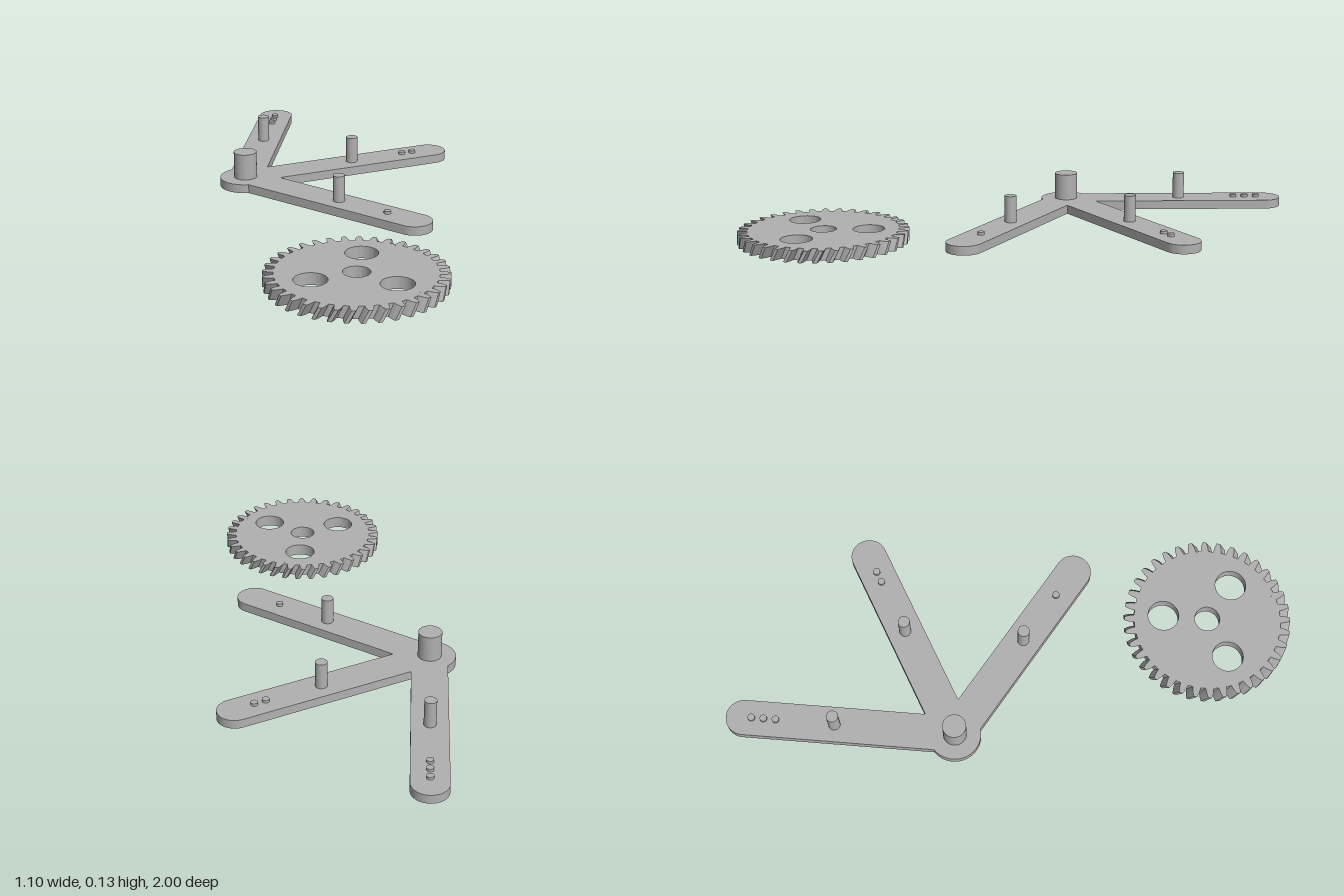
import * as THREE from 'three';
import { toCreasedNormals } from 'three/addons/utils/BufferGeometryUtils.js';

const PLATE_H = 0.032, PIN_TOP = 0.127, DOT_TOP = 0.042;
const HUB_R = 0.092, ARM_W = 0.0635, ARM_L = 0.744;
const GEAR_H = 0.042, TEETH = 36, TWIST = 0.075;
const rad = THREE.MathUtils.degToRad;

// Extrude a shape drawn in plan (shape y = -z) upwards from y = 0
function slab(shape, depth, steps = 1) {
  const g = new THREE.ExtrudeGeometry(shape, { depth, steps, bevelEnabled: false, curveSegments: 40 });
  return g.rotateX(-Math.PI / 2);
}

function circleHole(x, y, r) {
  return new THREE.Path().absarc(x, y, r, 0, Math.PI * 2, true);
}

// Three rounded arms, 60 degrees apart, merging into a round hub
function carrierShape() {
  const s = new THREE.Shape();
  const notch = ARM_W / Math.sin(rad(30));
  for (const deg of [-60, 0, 60]) {
    const a = rad(deg);
    s.absarc(ARM_L * Math.cos(a), ARM_L * Math.sin(a), ARM_W, a - Math.PI / 2, a + Math.PI / 2, false);
    if (deg < 60) s.lineTo(notch * Math.cos(a + rad(30)), notch * Math.sin(a + rad(30)));
  }
  const start = rad(60) + Math.asin(ARM_W / HUB_R);
  s.absarc(0, 0, HUB_R, start, Math.PI * 2 - start, false);
  s.closePath();
  return s;
}

// Tooth outline: [radius, offset as a fraction of one tooth pitch]
function toothShape() {
  const profile = [[0.262, -0.3], [0.272, -0.27], [0.283, -0.22], [0.297, -0.12],
    [0.297, 0.12], [0.283, 0.22], [0.272, 0.27], [0.262, 0.3]];
  const pts = [];
  for (let i = 0; i < TEETH; i++) {
    for (const [r, f] of profile) {
      const a = (i + f) * Math.PI * 2 / TEETH;
      pts.push(new THREE.Vector2(r * Math.cos(a), r * Math.sin(a)));
    }
  }
  return new THREE.Shape(pts);
}

export function createModel() {
  const model = new THREE.Group();
  model.name = 'gearAndCarrier';
  const grey = new THREE.MeshStandardMaterial({ color: 0xb0b0b0 });
  grey.name = 'grey';

  const add = (parent, name, geometry) => {
    const mesh = new THREE.Mesh(geometry, grey);
    mesh.name = name;
    parent.add(mesh);
    return mesh;
  };

  // Carrier plate with its pins
  const carrier = new THREE.Group();
  carrier.name = 'carrier';
  carrier.position.set(-0.257, 0, -0.293);
  model.add(carrier);
  add(carrier, 'carrierPlate', toCreasedNormals(slab(carrierShape(), PLATE_H), 0.4));

  const peg = (name, r, top, dist, a) => {
    const base = PLATE_H - 0.004;
    const mesh = add(carrier, name, new THREE.CylinderGeometry(r, r, top - base, 40));
    mesh.position.set(dist * Math.cos(a), (top + base) / 2, -dist * Math.sin(a));
  };
  peg('hubPin', 0.0415, PIN_TOP, 0, 0);

  // Each arm has one pin and one, two or three index dots
  [-60, 0, 60].forEach((deg, i) => {
    peg('armPin', 0.021, PIN_TOP, 0.424, rad(deg));
    for (let k = 0; k <= i; k++) peg('indexDot', 0.0125, DOT_TOP, 0.632 + k * 0.0425, rad(deg));
  });

  // Helical gear: plain drilled disc inside a twisted toothed rim
  const gear = new THREE.Group();
  gear.name = 'helicalGear';
  gear.position.set(-0.257, 0, 0.703);
  model.add(gear);

  const disc = new THREE.Shape().absarc(0, 0, 0.25, 0, Math.PI * 2, false);
  disc.holes.push(circleHole(0, 0, 0.045));
  for (const deg of [60, 180, 300]) {
    disc.holes.push(circleHole(0.157 * Math.cos(rad(deg)), 0.157 * Math.sin(rad(deg)), 0.055));
  }
  add(gear, 'gearDisc', toCreasedNormals(slab(disc, GEAR_H), 0.4));

  const teeth = toothShape();
  teeth.holes.push(circleHole(0, 0, 0.25));
  const rim = slab(teeth, GEAR_H, 4);
  const p = rim.attributes.position;
  const v = new THREE.Vector3(), up = new THREE.Vector3(0, 1, 0);
  for (let i = 0; i < p.count; i++) {
    v.fromBufferAttribute(p, i);
    v.applyAxisAngle(up, TWIST * v.y / GEAR_H);
    p.setXYZ(i, v.x, v.y, v.z);
  }
  add(gear, 'gearTeeth', toCreasedNormals(rim, 0.4));

  return model;
}
